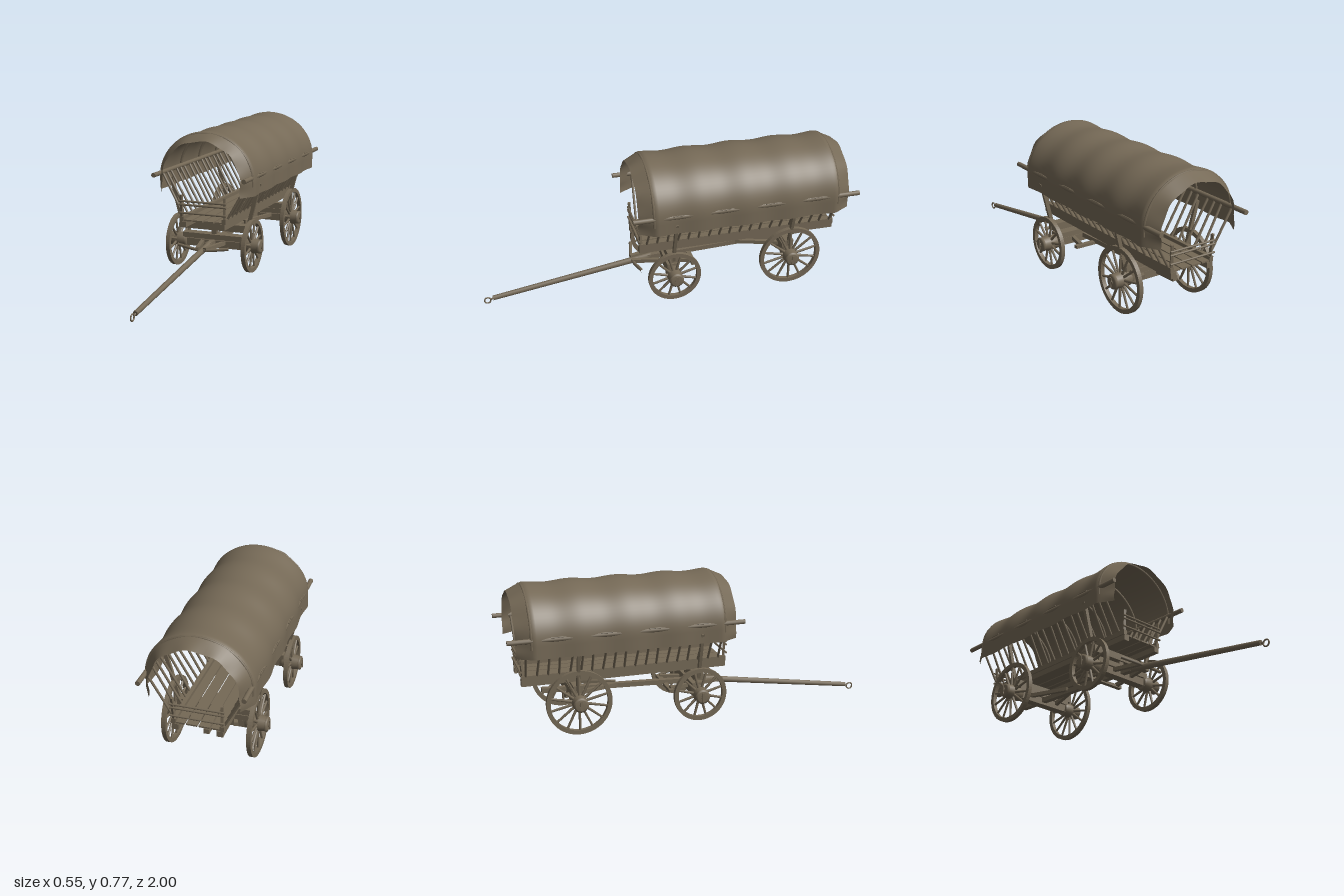
import * as THREE from 'three';

const wood = new THREE.MeshStandardMaterial({ color: 0x756956 });
wood.name = 'weatheredBrown';
const cloth = wood.clone();
cloth.name = 'canvasBrown';
cloth.side = THREE.DoubleSide;

const V = (x, y, z) => new THREE.Vector3(x, y, z);

function add(parent, name, geo, mat = wood) {
  const m = new THREE.Mesh(geo, mat);
  m.name = name;
  parent.add(m);
  return m;
}

function box(parent, name, w, h, d, x, y, z) {
  const m = add(parent, name, new THREE.BoxGeometry(w, h, d));
  m.position.set(x, y, z);
  return m;
}

// Square beam from a to b
function beam(parent, name, a, b, w, h = w) {
  const m = add(parent, name, new THREE.BoxGeometry(w, h, a.distanceTo(b)));
  m.position.copy(a).lerp(b, 0.5);
  m.lookAt(b);
  return m;
}

// Round pole from a to b
function pole(parent, name, a, b, r1, r2 = r1, sides = 10) {
  const m = add(parent, name, new THREE.CylinderGeometry(r2, r1, a.distanceTo(b), sides));
  m.position.copy(a).lerp(b, 0.5);
  m.quaternion.setFromUnitVectors(V(0, 1, 0), b.clone().sub(a).normalize());
  return m;
}

// Wheel with its axle along local z, outside facing +z
function makeWheel(name, R, spokes) {
  const g = new THREE.Group();
  g.name = name;
  const ring = new THREE.Shape().absarc(0, 0, R, 0, Math.PI * 2);
  ring.holes.push(new THREE.Path().absarc(0, 0, R - 0.022, 0, Math.PI * 2, true));
  const rim = new THREE.ExtrudeGeometry(ring, { depth: 0.022, bevelEnabled: false, curveSegments: 36 });
  add(g, 'rim', rim.translate(0, 0, -0.011));
  for (let i = 0; i < spokes; i++) {
    const a = (i + 0.5) / spokes * Math.PI * 2, c = Math.cos(a), s = Math.sin(a);
    pole(g, 'spoke', V(c * 0.03, s * 0.03, 0), V(c * (R - 0.015), s * (R - 0.015), 0), 0.0075, 0.006, 6);
  }
  // Stepped hub with iron bands
  const profile = [[0, -0.06], [0.034, -0.06], [0.034, -0.048], [0.038, -0.048], [0.04, -0.015],
    [0.04, 0.015], [0.036, 0.04], [0.038, 0.04], [0.038, 0.05], [0.03, 0.05], [0.03, 0.054], [0, 0.054]];
  const hub = new THREE.LatheGeometry(profile.map(p => new THREE.Vector2(...p)), 20);
  add(g, 'hub', hub.rotateX(Math.PI / 2));
  pole(g, 'axleTip', V(0, 0, 0.05), V(0, 0, 0.058), 0.012);
  box(g, 'linchpin', 0.012, 0.05, 0.004, 0, 0, 0.059);
  return g;
}

// Half section of the cover: u runs 0..1 from the right hem over the top to the left hem
function archPoint(u, halfWidth, top) {
  const hem = 0.45, spring = 0.525, k = 0.12;
  if (u < k) return [-halfWidth, hem + (spring - hem) * u / k];
  if (u > 1 - k) return [halfWidth, hem + (spring - hem) * (1 - u) / k];
  const a = (u - k) / (1 - 2 * k) * Math.PI;
  return [-Math.cos(a) * halfWidth, spring + Math.sin(a) * (top - spring)];
}

const FIRST_HOOP = 0.12, HOOP_GAP = 0.25;

function makeCover() {
  const geo = new THREE.PlaneGeometry(1, 1, 48, 92);
  const p = geo.attributes.position;
  for (let i = 0; i < p.count; i++) {
    const u = p.getX(i) + 0.5, z = 0.195 - (p.getY(i) + 0.5) * 1.15;
    // Cloth sags between hoops and is drawn in at both ends
    const sag = 0.0045 * (1 - Math.cos((z - FIRST_HOOP) / HOOP_GAP * Math.PI * 2));
    const end = Math.max(0, z - 0.11, -0.87 - z) / 0.085;
    const inner = end > 0 ? 0 : sag;
    const ripple = end * 0.004 * Math.sin(u * 38);
    const [x, y] = archPoint(u, 0.27 - inner - 0.05 * end + ripple, 0.775 - inner - 0.042 * end + ripple);
    p.setXYZ(i, x, y, z);
  }
  geo.computeVertexNormals();
  return geo;
}

export function createModel() {
  const model = new THREE.Group();
  model.name = 'coveredWagon';

  // Cover, hoops and side poles
  add(model, 'canvasCover', makeCover(), cloth);
  for (let i = 0; i < 5; i++) {
    const z = FIRST_HOOP - i * HOOP_GAP, pts = [];
    for (let j = 0; j <= 20; j++) pts.push(V(...archPoint(0.08 + 0.84 * j / 20, 0.26, 0.765), z));
    add(model, 'hoop', new THREE.TubeGeometry(new THREE.CatmullRomCurve3(pts), 40, 0.007, 6));
  }

  // Wheels and running gear for each axle
  for (const [label, z, y, R, n] of [['front', 0, 0.158, 0.143, 12], ['rear', -0.645, 0.187, 0.17, 14]]) {
    for (const s of [1, -1]) {
      const w = makeWheel(label + 'Wheel', R, n);
      w.position.set(s * 0.216, y, z);
      w.rotation.y = s * Math.PI / 2;
      model.add(w);
      // Leaning stake that carries the side pole
      beam(model, label + 'Stake', V(s * 0.188, 0.24, z), V(s * 0.255, 0.5, z), 0.016, 0.02);
    }
    box(model, label + 'Axle', 0.36, 0.04, 0.05, 0, y - 0.004, z);
    box(model, label + 'Bolster', 0.35, 0.028, 0.06, 0, y + 0.034, z);
    box(model, label + 'Kingpin', 0.03, 0.07, 0.03, 0, 0.21, z);
    box(model, label + 'Crossbeam', 0.395, 0.038, 0.05, 0, 0.248, z);
  }

  // Reach beam and braces below the bed
  beam(model, 'reach', V(0, 0.162, 0.1), V(0, 0.195, -0.8), 0.03, 0.025);
  for (const s of [1, -1]) {
    beam(model, 'rearBrace', V(s * 0.015, 0.19, -0.4), V(s * 0.12, 0.195, -0.7), 0.02);
    beam(model, 'frontBrace', V(s * 0.02, 0.16, 0.19), V(s * 0.1, 0.165, -0.13), 0.02);
  }
  box(model, 'swayBar', 0.26, 0.016, 0.025, 0, 0.158, -0.13);
  const bar = new THREE.CatmullRomCurve3([V(-0.145, 0.168, 0.16), V(0, 0.155, 0.185), V(0.145, 0.168, 0.16)]);
  add(model, 'splinterBar', new THREE.TubeGeometry(bar, 12, 0.009, 8));

  // Tongue with an iron ring
  pole(model, 'tongue', V(0, 0.165, 0.08), V(0, 0.032, 0.95), 0.017, 0.013, 10);
  pole(model, 'ringShank', V(0, 0.032, 0.945), V(0, 0.025, 0.965), 0.005);
  const ring = add(model, 'tongueRing', new THREE.TorusGeometry(0.017, 0.004, 8, 20));
  ring.position.set(0, 0.021, 0.979);
  ring.rotation.y = Math.PI / 2;

  // Bed: long beams, sills and floor boards
  for (const s of [1, -1]) {
    box(model, 'bedBeam', 0.032, 0.03, 1.09, s * 0.11, 0.283, -0.375);
    box(model, 'bedSill', 0.022, 0.026, 1.09, s * 0.12, 0.312, -0.375);
    pole(model, 'sidePole', V(s * 0.254, 0.545, 0.23), V(s * 0.254, 0.545, -1), 0.0125);
    // Sloping side slats
    for (let i = 0; i < 19; i++) {
      const z = 0.13 - i * 0.057;
      pole(model, 'sideSlat', V(s * 0.122, 0.315, z), V(s * 0.251, 0.545, z + (i % 3 - 1) * 0.008), 0.0065, 0.0065, 7);
    }
    // Short pegs tying the cover to the side poles
    for (let i = 0; i < 4; i++) {
      const z = -0.005 - i * HOOP_GAP;
      pole(model, 'coverPeg', V(s * 0.266, 0.557, z - 0.03), V(s * 0.266, 0.557, z + 0.03), 0.003, 0.003, 6);
    }
  }
  for (let i = 0; i < 4; i++) {
    box(model, 'floorBoard', 0.055, 0.008, 1.08, (i - 1.5) * 0.062, 0.303, -0.375);
  }

  // End gates, front and back
  for (const [label, z, out] of [['front', 0.16, 1], ['rear', -0.91, -1]]) {
    for (const s of [1, -1]) {
      beam(model, label + 'GatePost', V(s * 0.119, 0.31, z), V(s * 0.122, 0.44, z + out * 0.008), 0.013);
    }
    for (const y of [0.345, 0.389, 0.408]) {
      pole(model, label + 'GateRail', V(-0.135, y, z + out * 0.012), V(0.135, y, z + out * 0.012), 0.0055);
    }
  }
  return model;
}
